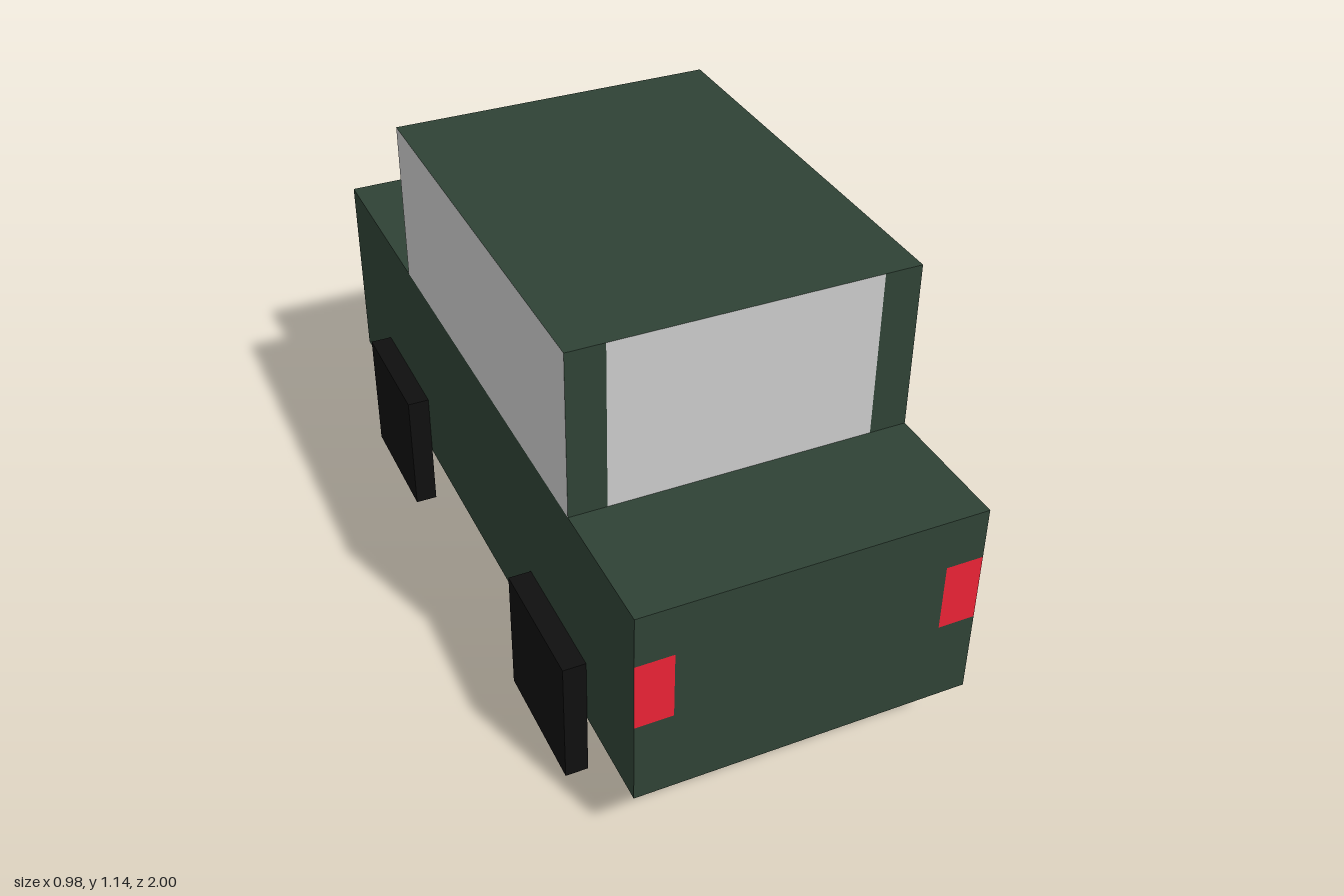
import * as THREE from 'three';

const sheet = (color) => new THREE.MeshStandardMaterial({ color, side: THREE.DoubleSide, flatShading: true });
const green = sheet(0x2f4235);
const grey = sheet(0xcccccc);
const red = sheet(0xeb2336);
const rubber = new THREE.MeshStandardMaterial({ color: 0x0f0f0f, flatShading: true });

// Main dimensions
const W = 0.43;                     // half width
const POST = 0.335;                 // inner edge of posts and lamps
const SILL = 0.17, DECK = 0.705, ROOF = 1.14;
const CAB_F = 0.645, CAB_B = -0.48; // cabin front and back
const LAMP_LO = 0.39, LAMP_HI = 0.57;

export function createModel() {
  const model = new THREE.Group();

  const add = (name, geometry, material) => {
    const mesh = new THREE.Mesh(geometry, material);
    mesh.name = name;
    model.add(mesh);
    return mesh;
  };

  // Level sheet at height y
  const level = (name, y, z0, z1) => {
    const g = new THREE.PlaneGeometry(2 * W, z1 - z0).rotateX(-Math.PI / 2);
    add(name, g.translate(0, y, (z0 + z1) / 2), green);
  };

  // Upright sheet facing sideways
  const side = (name, x, y0, y1, z0, z1, material) => {
    const g = new THREE.PlaneGeometry(z1 - z0, y1 - y0).rotateY(Math.sign(x) * Math.PI / 2);
    add(name, g.translate(x, (y0 + y1) / 2, (z0 + z1) / 2), material);
  };

  // Upright sheet facing front (dir 1) or back (dir -1)
  const facing = (name, x0, x1, y0, y1, z, dir, material) => {
    const g = new THREE.PlaneGeometry(x1 - x0, y1 - y0);
    if (dir < 0) g.rotateY(Math.PI);
    add(name, g.translate((x0 + x1) / 2, (y0 + y1) / 2, z), material);
  };

  // Deck, roof and floor; the two ends are open underneath
  level('deck', DECK, -1, 1);
  level('roof', ROOF, CAB_B, CAB_F);
  add('floor', new THREE.PlaneGeometry(2 * W, CAB_F - CAB_B).rotateX(Math.PI / 2)
    .translate(0, SILL, (CAB_F + CAB_B) / 2), green);

  // End wall outline, notched at both edges for the lamps
  const half = [[W, SILL], [W, LAMP_LO], [POST, LAMP_LO], [POST, LAMP_HI], [W, LAMP_HI], [W, DECK]];
  const outline = [...half, ...half.map(([x, y]) => [-x, y]).reverse()];
  const endShape = new THREE.Shape(outline.map(([x, y]) => new THREE.Vector2(x, y)));

  for (const [end, dir, cabZ, lamp] of [['front', 1, CAB_F, red], ['back', -1, CAB_B, grey]]) {
    const wall = new THREE.ShapeGeometry(endShape);
    if (dir < 0) wall.rotateY(Math.PI);
    add(end + 'Wall', wall.translate(0, 0, dir), green);
    facing(end + 'Window', -POST, POST, DECK, ROOF, cabZ, dir, grey);
    for (const [name, x0, x1] of [['Left', POST, W], ['Right', -W, -POST]]) {
      facing(end + name + 'Lamp', x0, x1, LAMP_LO, LAMP_HI, dir, dir, lamp);
      facing(end + name + 'Post', x0, x1, DECK, ROOF, cabZ, dir, green);
    }
  }

  // Body sides, side windows and square wheels
  for (const [name, s] of [['left', 1], ['right', -1]]) {
    side(name + 'BodySide', s * W, SILL, DECK, -1, 1, green);
    side(name + 'Window', s * W, DECK, ROOF, CAB_B, CAB_F, grey);
    for (const [end, z] of [['Front', 0.563], ['Back', -0.563]]) {
      const wheel = add(name + end + 'Wheel', new THREE.BoxGeometry(0.058, 0.345, 0.345), rubber);
      wheel.position.set(s * (W + 0.029), 0.1725, z);
    }
  }

  return model;
}
